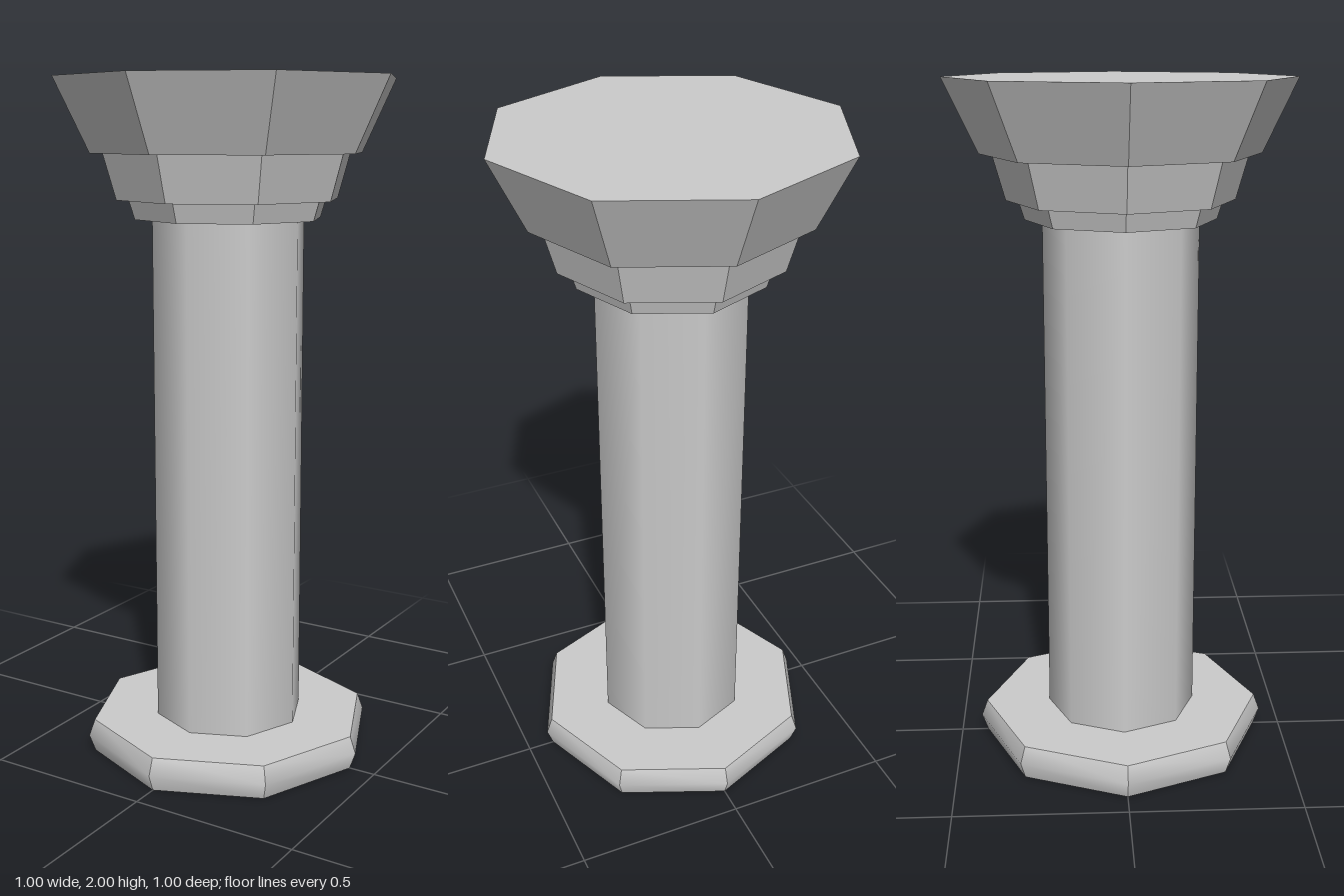
import * as THREE from 'three';
import { mergeGeometries } from 'three/addons/utils/BufferGeometryUtils.js';

const SIDES = 8;
const SHAFT_RADIUS = 0.225;
const BASE_TOP = 0.1;
const CAPITAL_BOTTOM = 1.605;

const material = new THREE.MeshStandardMaterial({ color: 0xcccccc, side: THREE.DoubleSide });
const toPoints = (profile) => profile.map(([r, y]) => new THREE.Vector2(r, y));

// Octagonal ring of faceted bands, every face flat
function facetedLathe(profile) {
  const geometry = new THREE.LatheGeometry(toPoints(profile), SIDES).toNonIndexed();
  geometry.computeVertexNormals();
  return geometry;
}

// Octagonal band rounded vertically but sharp at each corner
function roundedBand(profile) {
  const step = (Math.PI * 2) / SIDES;
  const panels = [];
  for (let i = 0; i < SIDES; i++) {
    const panel = new THREE.LatheGeometry(toPoints(profile), 1, i * step, step);
    panel.computeVertexNormals();
    panels.push(panel);
  }
  return mergeGeometries(panels);
}

function addPart(parent, name, geometry) {
  const mesh = new THREE.Mesh(geometry, material);
  mesh.name = name;
  parent.add(mesh);
}

export function createModel() {
  const column = new THREE.Group();
  column.name = 'column';

  // Base slab with a bevelled rim and an open centre
  const base = new THREE.Group();
  base.name = 'base';
  addPart(base, 'baseRim', roundedBand([[0.42, 0], [0.438, BASE_TOP / 2], [0.42, BASE_TOP]]));
  addPart(base, 'baseUnderside', facetedLathe([[SHAFT_RADIUS, 0], [0.42, 0]]));
  addPart(base, 'baseTop', facetedLathe([[0.42, BASE_TOP], [SHAFT_RADIUS, BASE_TOP]]));
  column.add(base);

  // Hollow, smooth-shaded shaft
  const shaft = new THREE.CylinderGeometry(SHAFT_RADIUS, SHAFT_RADIUS, CAPITAL_BOTTOM, SIDES, 1, true);
  shaft.translate(0, CAPITAL_BOTTOM / 2, 0);
  addPart(column, 'shaft', shaft);

  // Capital of three flaring tiers, closed on top
  addPart(column, 'capital', facetedLathe([
    [SHAFT_RADIUS, CAPITAL_BOTTOM],
    [0.275, CAPITAL_BOTTOM], [0.292, 1.66],
    [0.327, 1.66], [0.364, 1.79],
    [0.4, 1.79], [0.5, 2],
    [0, 2],
  ]));

  return column;
}
